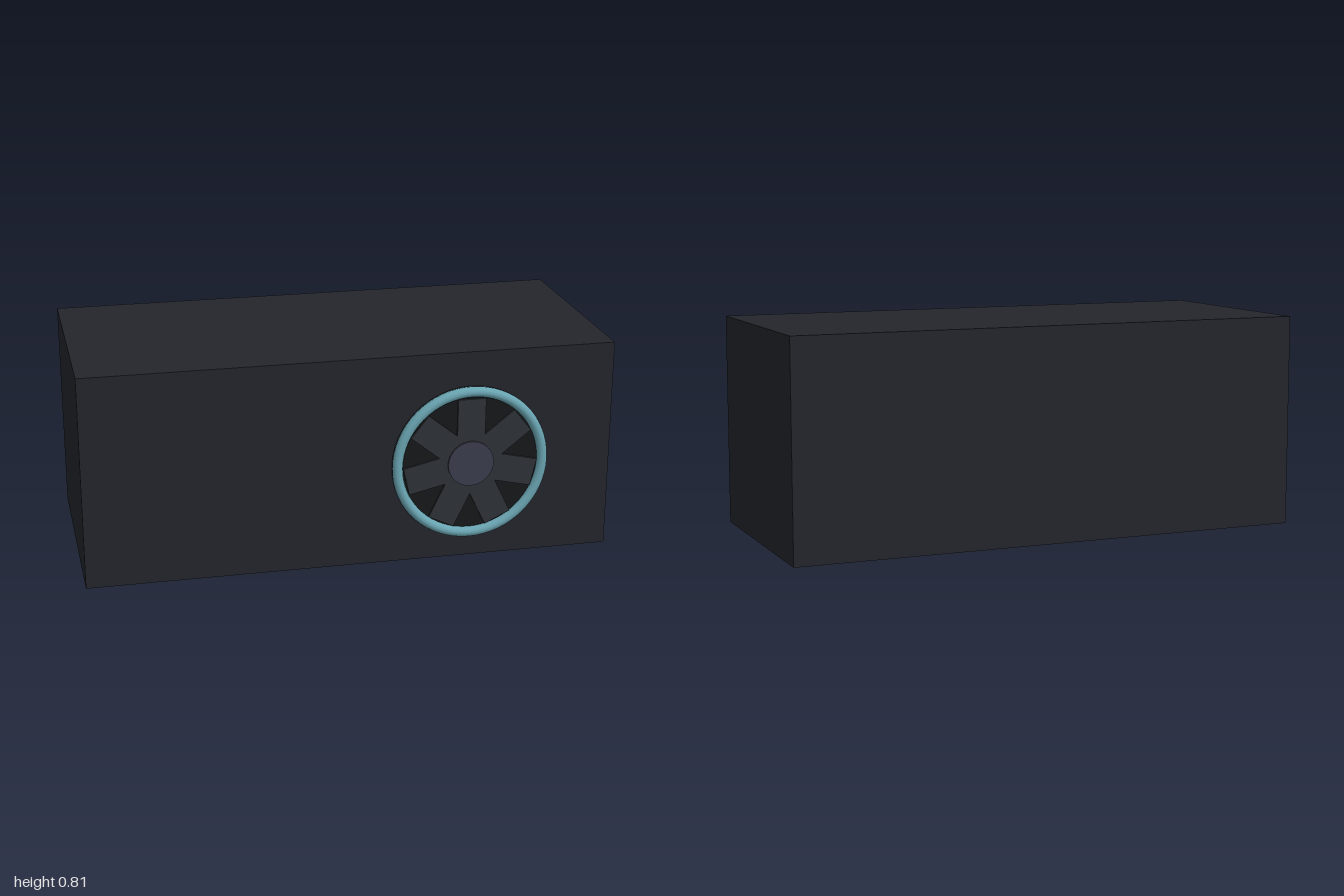
import * as THREE from 'three';

const paint = (color) => new THREE.MeshStandardMaterial({ color });

function part(name, geometry, material, x = 0, y = 0, z = 0) {
  const mesh = new THREE.Mesh(geometry, material);
  mesh.name = name;
  mesh.position.set(x, y, z);
  return mesh;
}

// Cylinder whose axis points to the front, with its back at z = 0
function disc(radius, depth, sides = 48) {
  return new THREE.CylinderGeometry(radius, radius, depth, sides)
    .rotateX(Math.PI / 2)
    .translate(0, 0, depth / 2);
}

export function createModel() {
  const model = new THREE.Group();
  model.name = 'fanUnit';

  // Plain closed case
  const back = -0.455, front = 0.42, height = 0.813;
  model.add(part('case', new THREE.BoxGeometry(2, height, front - back), paint(0x23252c),
    0, height / 2, (front + back) / 2));

  // Fan on the front face
  const fan = new THREE.Group();
  fan.name = 'fan';
  fan.position.set(0.447, 0.383, front);
  model.add(fan);

  fan.add(part('fanHousing', disc(0.298, 0.015), paint(0x15171a)));
  fan.add(part('fanRing', new THREE.TorusGeometry(0.28, 0.02, 12, 64), paint(0x6aa5b2), 0, 0, 0.015));

  // Seven flat blades around the hub
  const bladeCount = 7, inner = 0.05, outer = 0.253;
  const bladeGeometry = new THREE.BoxGeometry(0.107, outer - inner, 0.012)
    .translate(0, (outer + inner) / 2, 0);
  const bladeMaterial = paint(0x2d3136);
  for (let i = 0; i < bladeCount; i++) {
    const blade = part('fanBlade', bladeGeometry, bladeMaterial, 0, 0, 0.017);
    blade.rotation.z = (i / bladeCount) * Math.PI * 2;
    fan.add(blade);
  }

  fan.add(part('fanHub', disc(0.088, 0.03, 32), paint(0x3a3c4c)));

  return model;
}
